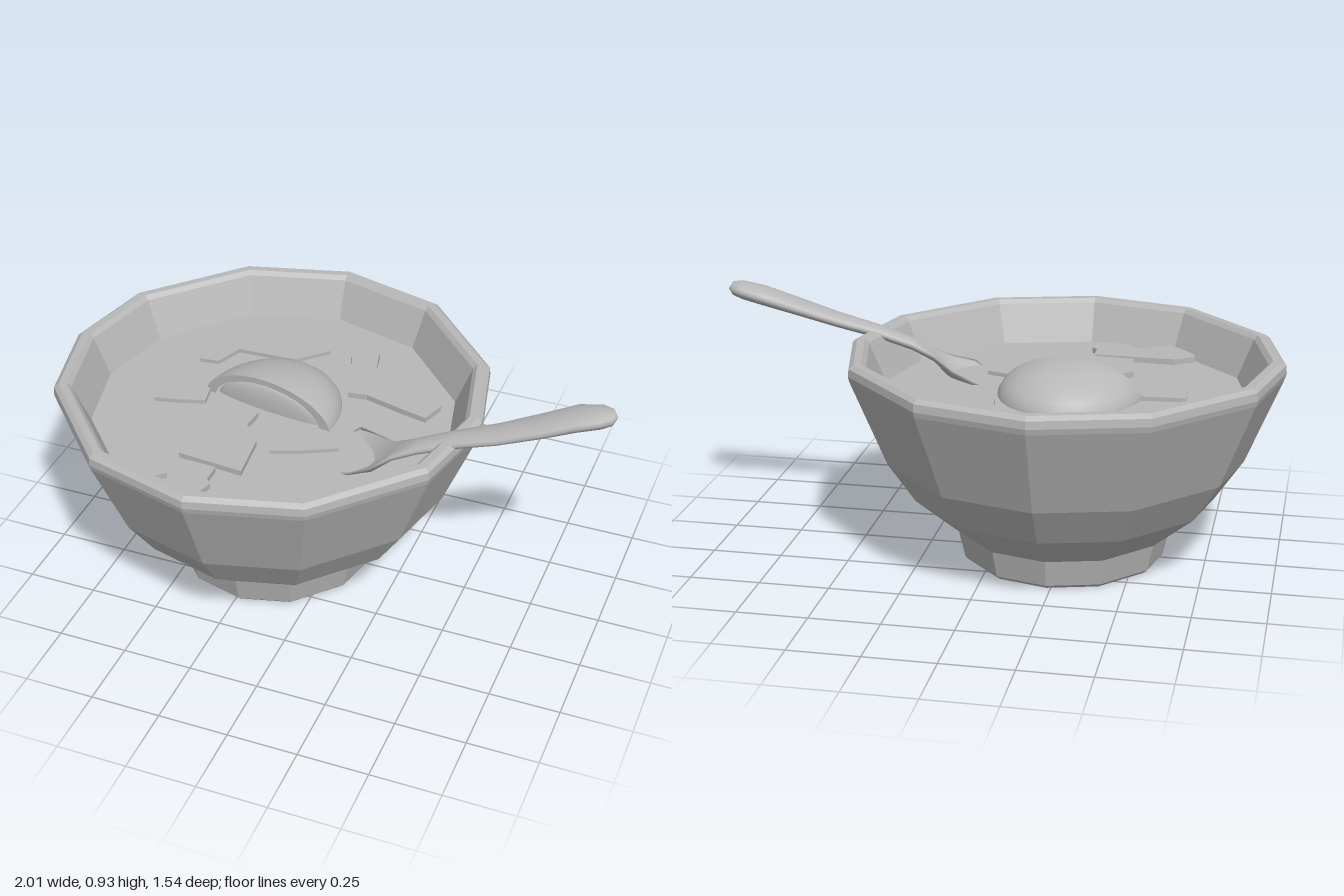
import * as THREE from 'three';

const CX = -0.235; // bowl centre
const SOUP_Y = 0.6;

const ceramic = new THREE.MeshStandardMaterial({ color: 0xb8b8b8, flatShading: true, side: THREE.DoubleSide });
ceramic.name = 'clay grey';
const smooth = new THREE.MeshStandardMaterial({ color: 0xb8b8b8, side: THREE.DoubleSide });
smooth.name = 'smooth clay grey';

function addMesh(parent, name, geometry, material) {
  const mesh = new THREE.Mesh(geometry, material);
  mesh.name = name;
  parent.add(mesh);
  return mesh;
}

// Twelve-sided lathe whose corners nearest the x axis are pulled towards it
function facetedLathe(profile) {
  const geo = new THREE.LatheGeometry(profile.map(([r, y]) => new THREE.Vector2(r, y)), 12);
  const p = geo.attributes.position;
  for (let i = 0; i < p.count; i++) {
    const x = p.getX(i), z = p.getZ(i), r = Math.hypot(x, z);
    const a = Math.atan2(Math.abs(z), Math.abs(x));
    if (r > 0 && Math.abs(a - Math.PI / 6) < 0.05) {
      p.setX(i, Math.sign(x) * r * Math.cos(0.45));
      p.setZ(i, Math.sign(z) * r * Math.sin(0.45));
    }
  }
  geo.computeVertexNormals();
  return geo;
}

// Loft of oval sections [x, y, z, halfWidth, halfThickness, sag]
function loft(sections, sides = 16) {
  const pos = [], index = [];
  for (const [x, y, z, w, t, sag] of sections) {
    for (let j = 0; j < sides; j++) {
      const a = (j / sides) * Math.PI * 2, u = Math.cos(a), v = Math.sin(a);
      pos.push(x + u * w * 0.17, y + v * t - sag * (1 - u * u), z + u * w * 0.98);
    }
  }
  for (let i = 0; i < sections.length - 1; i++) {
    for (let j = 0; j < sides; j++) {
      const k = (j + 1) % sides;
      const a = i * sides + j, b = a + sides, c = (i + 1) * sides + k, d = i * sides + k;
      index.push(a, b, c, a, c, d);
    }
  }
  const geo = new THREE.BufferGeometry();
  geo.setAttribute('position', new THREE.Float32BufferAttribute(pos, 3));
  geo.setIndex(index);
  geo.computeVertexNormals();
  return geo;
}

export function createModel() {
  const model = new THREE.Group();
  model.name = 'soupBowl';

  // Bowl: hollow foot, flared outer wall, rounded rim, inner wall
  const bowl = addMesh(model, 'bowl', facetedLathe([
    [0, 0.06], [0.285, 0.06], [0.315, 0.01], [0.33, 0], [0.35, 0], [0.362, 0.012],
    [0.385, 0.11], [0.54, 0.24], [0.638, 0.385], [0.765, 0.695], [0.77, 0.715],
    [0.767, 0.742], [0.75, 0.755], [0.722, 0.755], [0.707, 0.74], [0.64, 0.58],
  ]), ceramic);
  bowl.position.x = CX;

  // Soup surface
  const soup = addMesh(model, 'soup', facetedLathe([[0.648, SOUP_Y], [0, SOUP_Y]]), ceramic);
  soup.position.x = CX;

  // Floating pieces, outlines in x, z
  const pieces = [
    [[-0.67, -0.31], [-0.63, -0.36], [-0.53, -0.38], [-0.52, -0.5], [-0.42, -0.52], [-0.38, -0.45], [-0.3, -0.5],
      [-0.18, -0.41], [-0.28, -0.31], [-0.5, -0.3], [-0.54, -0.2], [-0.61, -0.19]],
    [[-0.1, -0.42], [-0.04, -0.54], [0, -0.45], [0.02, -0.36], [0.1, -0.34], [0.13, -0.26], [0.2, -0.28],
      [0.32, -0.21], [0.29, -0.12], [0.2, -0.14], [0.05, -0.18], [-0.02, -0.17], [-0.03, -0.24]],
    [[-0.67, -0.04], [-0.5, -0.05], [-0.48, 0.05], [-0.57, 0.08], [-0.66, 0.1]],
    [[-0.38, 0.05], [-0.27, 0.06], [-0.28, 0.14], [-0.21, 0.22], [-0.19, 0.4], [-0.43, 0.38], [-0.45, 0.22], [-0.38, 0.15]],
    [[-0.15, 0.19], [-0.05, 0.11], [0.07, 0.15], [-0.05, 0.21], [-0.15, 0.25]],
    [[-0.65, 0.45], [-0.58, 0.4], [-0.28, 0.41], [-0.28, 0.48], [-0.26, 0.5], [-0.28, 0.58],
      [-0.39, 0.56], [-0.42, 0.5], [-0.5, 0.57], [-0.62, 0.56]],
  ];
  pieces.forEach((outline, i) => {
    const shape = new THREE.Shape(outline.map(([x, z]) => new THREE.Vector2(x, -z)));
    const geo = new THREE.ExtrudeGeometry(shape, { depth: 0.03 + 0.006 * (i % 2), bevelEnabled: false });
    geo.rotateX(-Math.PI / 2);
    addMesh(model, 'vegetablePiece', geo, ceramic).position.y = SOUP_Y - 0.015;
  });

  // Large domed morsel with an open, recessed front
  const morsel = new THREE.Group();
  morsel.name = 'domedMorsel';
  morsel.position.set(-0.26, 0.585, 0.01);
  morsel.rotation.y = -0.16;
  model.add(morsel);
  const shell = addMesh(morsel, 'morselShell', new THREE.SphereGeometry(1, 28, 16, Math.PI, Math.PI), smooth);
  shell.scale.set(0.26, 0.14, 0.3);
  const lip = addMesh(morsel, 'morselLip', new THREE.RingGeometry(0.84, 1, 32), smooth);
  lip.scale.set(0.26, 0.14, 1);
  const core = addMesh(morsel, 'morselCore', new THREE.SphereGeometry(1, 24, 12), smooth);
  core.scale.set(0.215, 0.105, 0.025);
  core.position.z = -0.02;

  // Spoon: dished head sinking into the soup, narrow neck, broad handle
  addMesh(model, 'spoon', loft([
    [0.02, 0.55, 0.14, 0.001, 0.001, 0],
    [0.05, 0.575, 0.14, 0.1, 0.012, 0.04],
    [0.12, 0.615, 0.14, 0.14, 0.013, 0.07],
    [0.2, 0.635, 0.15, 0.1, 0.014, 0.05],
    [0.27, 0.665, 0.16, 0.05, 0.018, 0.01],
    [0.35, 0.7, 0.155, 0.04, 0.022, 0],
    [0.47, 0.745, 0.135, 0.045, 0.024, 0],
    [0.62, 0.79, 0.11, 0.057, 0.026, 0],
    [0.76, 0.84, 0.08, 0.066, 0.03, 0],
    [0.87, 0.88, 0.052, 0.069, 0.034, 0],
    [0.95, 0.9, 0.043, 0.056, 0.032, 0],
    [0.985, 0.905, 0.04, 0.035, 0.024, 0],
    [1, 0.905, 0.038, 0.001, 0.001, 0],
  ]), smooth);

  return model;
}
